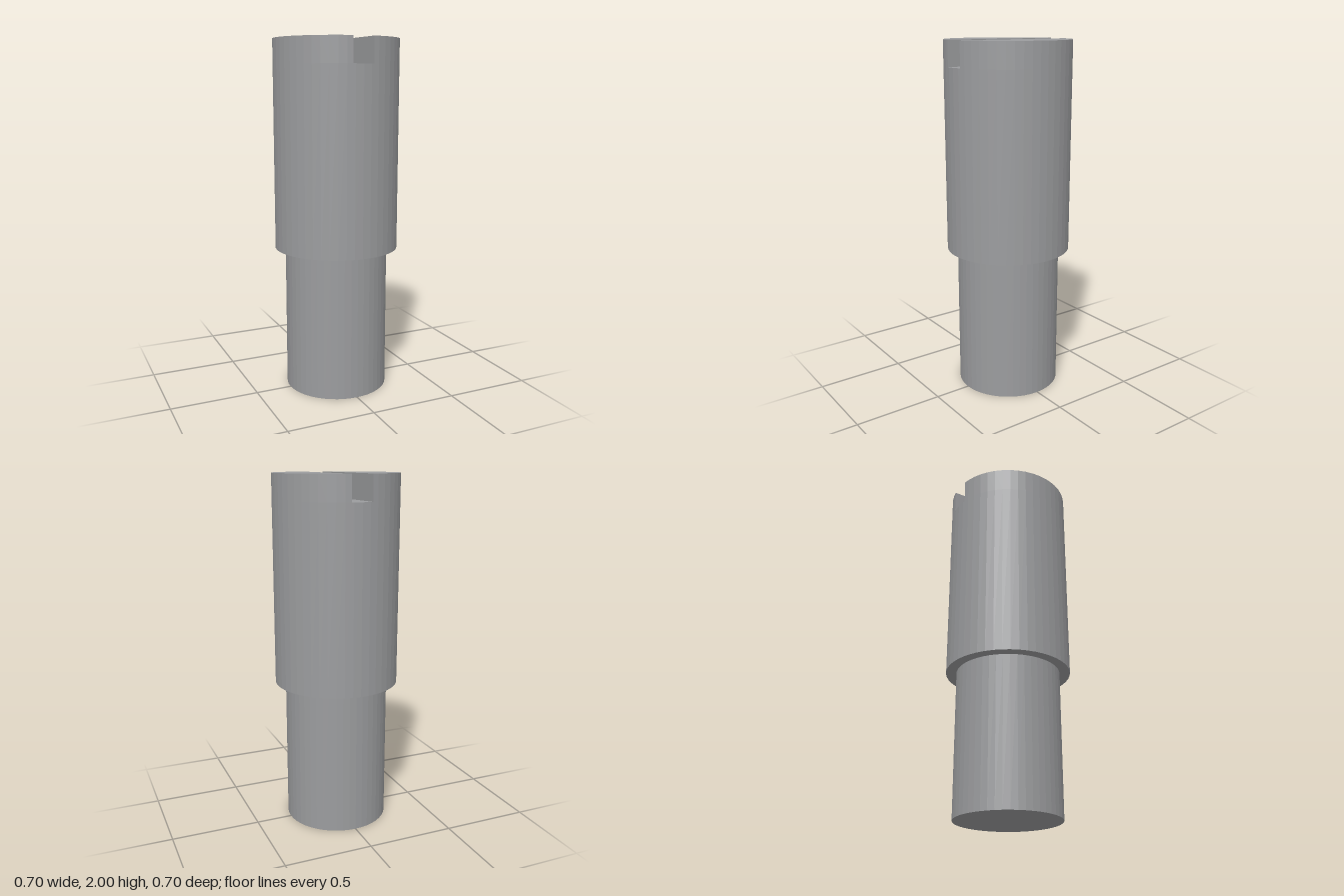
import * as THREE from 'three';

const SIDES = 48;
const HEAD_R = 0.352, SHANK_R = 0.293;
const STEP_Y = 0.825, SLOT_Y = 1.86, TOP_Y = 2;
const SLOT_HALF = 0.06;

export function createModel() {
  const model = new THREE.Group();
  model.name = 'slottedPin';
  const steel = new THREE.MeshStandardMaterial({ color: 0x9b9c9e, flatShading: true });
  steel.name = 'grey steel';

  const add = (name, geometry, y) => {
    const mesh = new THREE.Mesh(geometry, steel);
    mesh.name = name;
    mesh.position.y = y;
    model.add(mesh);
    return mesh;
  };

  // Narrow lower shank and wide body; the body's top is the slot floor
  add('shank', new THREE.CylinderGeometry(SHANK_R, SHANK_R, STEP_Y, SIDES), STEP_Y / 2);
  add('body', new THREE.CylinderGeometry(HEAD_R, HEAD_R, SLOT_Y - STEP_Y, SIDES), (STEP_Y + SLOT_Y) / 2);

  // Circle segment beside the slot, cut along the polygon's own edges
  const step = (2 * Math.PI) / SIDES;
  const rim = (i) => new THREE.Vector2(HEAD_R * Math.sin(i * step), -HEAD_R * Math.cos(i * step));
  const first = Math.ceil(Math.asin(SLOT_HALF / HEAD_R) / step);
  const a = rim(first - 1), b = rim(first);
  const cut = a.clone().lerp(b, (SLOT_HALF - a.x) / (b.x - a.x));
  const outline = [cut];
  for (let i = first; i <= SIDES / 2 - first; i++) outline.push(rim(i));
  outline.push(new THREE.Vector2(cut.x, -cut.y));

  // Two matching jaws on either side of the screwdriver slot
  const jaw = new THREE.ExtrudeGeometry(new THREE.Shape(outline), { depth: TOP_Y - SLOT_Y, bevelEnabled: false });
  jaw.rotateX(-Math.PI / 2);
  add('leftJaw', jaw, SLOT_Y);
  add('rightJaw', jaw, SLOT_Y).rotation.y = Math.PI;

  return model;
}
